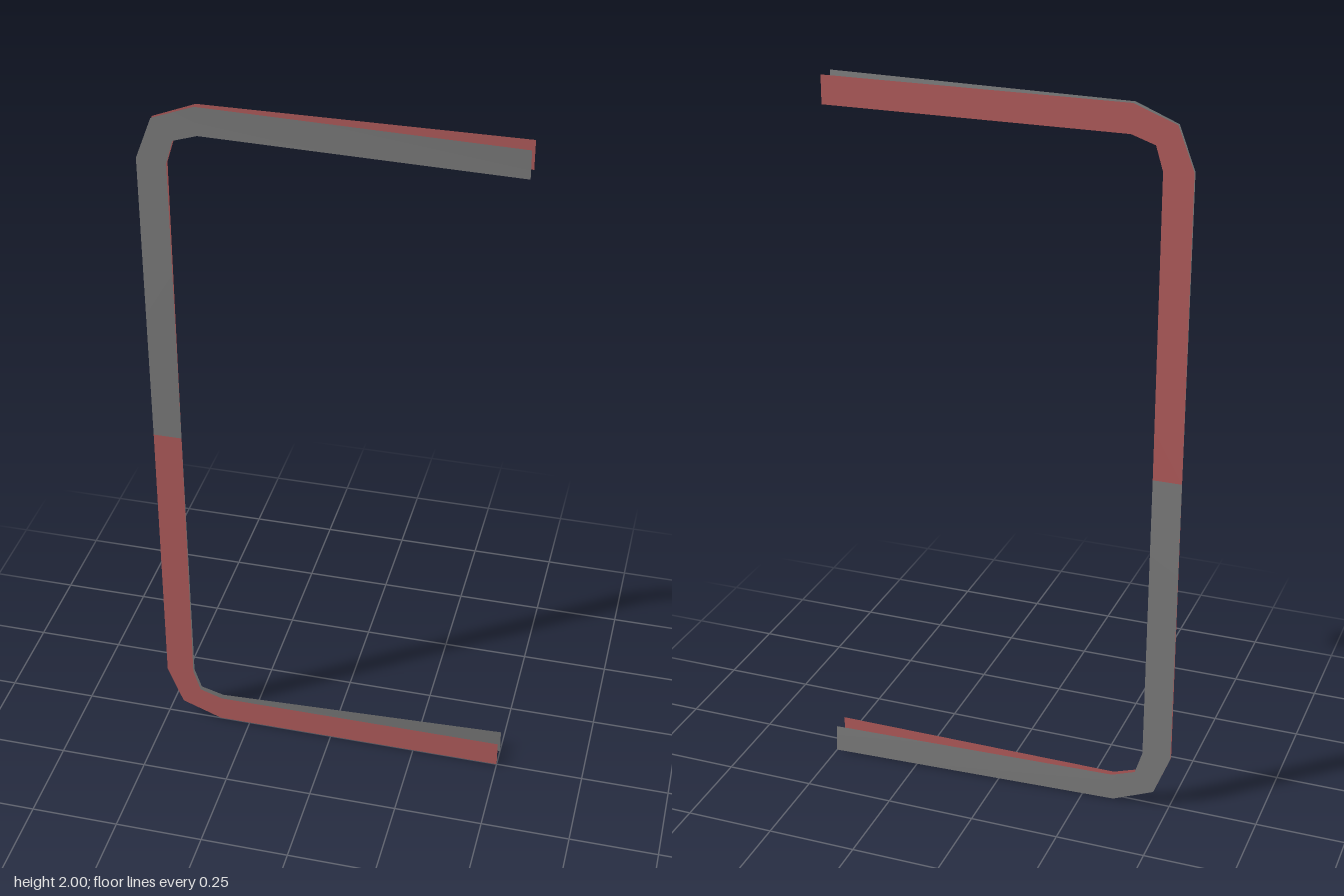
import * as THREE from 'three';

// Outer and inner edge points of the upper half, from arm tip to spine: [outerX, outerY, innerX, innerY]
const HALF = [
  [0.5, 2, 0.5, 1.922],
  [-0.34, 2, -0.335, 1.922],
  [-0.455, 1.955, -0.4, 1.9],
  [-0.5, 1.84, -0.42, 1.835],
];
const SPINE_STEPS = 12;
const SLOPE = 0.0475, PIVOT_X = -0.715; // how far the arms of the twisted band swing out

// Cross-sections of the whole bracket, from the top arm down the spine to the bottom arm
function sections() {
  const mirror = ([ox, oy, ix, iy]) => [ox, 2 - oy, ix, 2 - iy];
  const list = [...HALF];
  const a = HALF[3], b = mirror(a);
  for (let i = 1; i < SPINE_STEPS; i++) {
    list.push(a.map((v, k) => v + ((b[k] - v) * i) / SPINE_STEPS));
  }
  return list.concat([...HALF].reverse().map(mirror));
}

// Thin band through the cross-sections; twist 0 is flat, 1 swings the arms apart
function band(name, color, twist) {
  const positions = [], index = [];
  const z = (x, y) => twist * (y - 1) * SLOPE * (x - PIVOT_X);
  sections().forEach(([ox, oy, ix, iy], i) => {
    positions.push(ox, oy, z(ox, oy), ix, iy, z(ix, iy));
    if (i > 0) {
      const p = 2 * (i - 1);
      index.push(p, p + 2, p + 1, p + 1, p + 2, p + 3);
    }
  });
  const geometry = new THREE.BufferGeometry();
  geometry.setAttribute('position', new THREE.Float32BufferAttribute(positions, 3));
  geometry.setIndex(index);
  geometry.computeVertexNormals();
  const material = new THREE.MeshStandardMaterial({ color, side: THREE.DoubleSide });
  const mesh = new THREE.Mesh(geometry, material);
  mesh.name = name;
  return mesh;
}

export function createModel() {
  const group = new THREE.Group();
  group.name = 'bracket';
  // Flat red band in the middle plane, crossed at mid-height by a twisted dark grey one
  group.add(band('flatBand', 0xba6060, 0));
  group.add(band('twistedBand', 0x828282, 1));
  return group;
}
